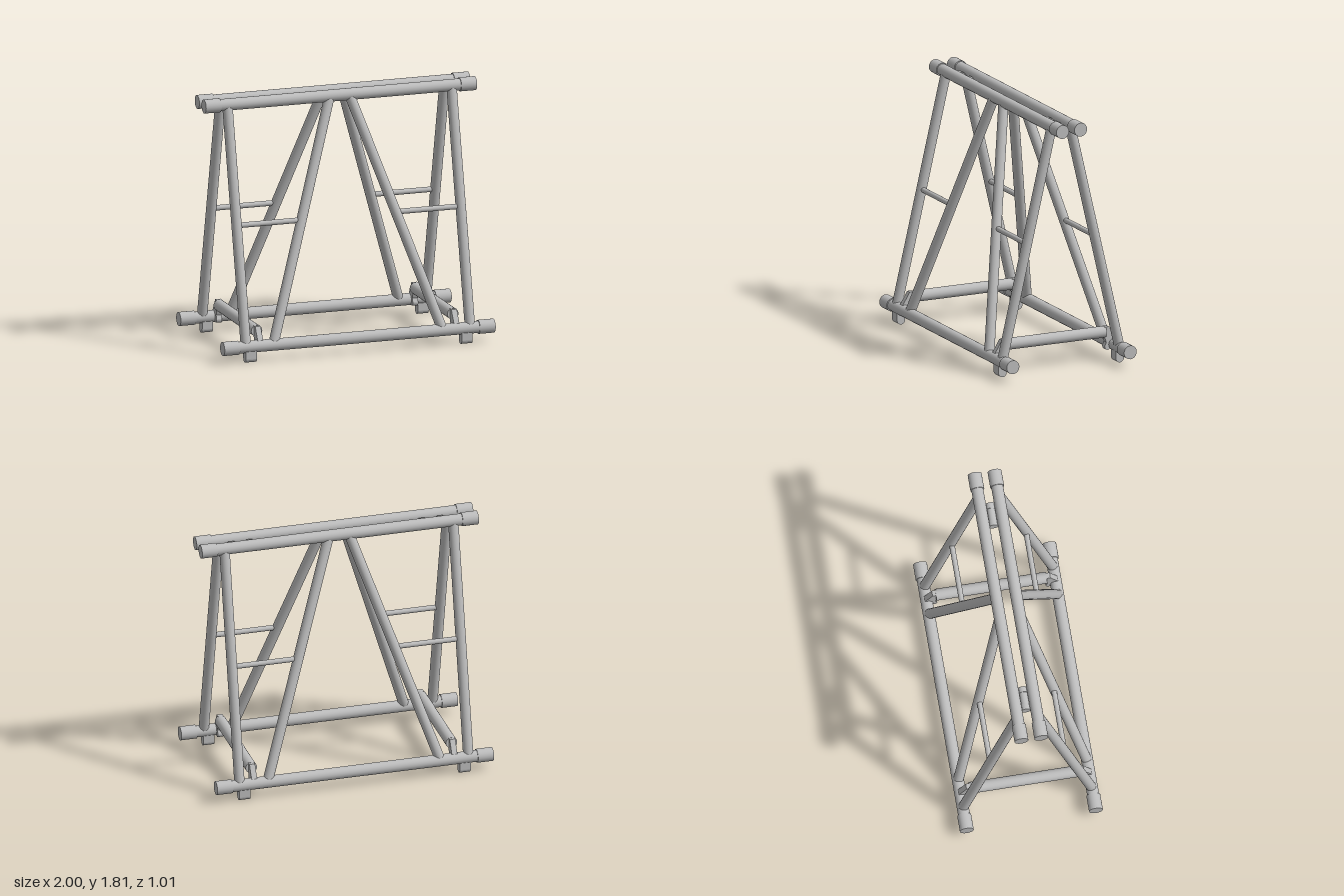
import * as THREE from 'three';

const steel = new THREE.MeshStandardMaterial({ color: 0xbdbdbd });
steel.name = 'steel grey';

const LOW = { y: 0.11, z: 0.455 };
const HIGH = { y: 1.757, z: 0.07 };

// Round bar between two points
function bar(name, a, b, radius, sides = 20) {
  const from = new THREE.Vector3(...a), to = new THREE.Vector3(...b);
  const dir = to.clone().sub(from);
  const mesh = new THREE.Mesh(new THREE.CylinderGeometry(radius, radius, dir.length(), sides), steel);
  mesh.name = name;
  mesh.position.copy(from).add(to).multiplyScalar(0.5);
  mesh.quaternion.setFromUnitVectors(new THREE.Vector3(0, 1, 0), dir.normalize());
  return mesh;
}

// Plate with a side profile in (z, y), extruded along x and centred on x
function plate(name, shape, x, width) {
  const geo = new THREE.ExtrudeGeometry(shape, { depth: width, bevelEnabled: false, curveSegments: 10 });
  geo.translate(0, 0, -width / 2);
  geo.rotateY(-Math.PI / 2); // shape x becomes z
  const mesh = new THREE.Mesh(geo, steel);
  mesh.name = name;
  mesh.position.x = x;
  return mesh;
}

// Rail with a thicker sleeve on each end
function rail(name, y, z) {
  const g = new THREE.Group();
  g.name = name;
  g.add(bar('railTube', [-0.95, y, z], [0.95, y, z], 0.042));
  for (const s of [-1, 1]) g.add(bar('railSleeve', [s * 0.885, y, z], [s, y, z], 0.049));
  return g;
}

// Rounded foot below the lower rail
function footShape(side) {
  const s = new THREE.Shape(), z = side * LOW.z, r = 0.031;
  s.moveTo(z + r, 0.1);
  s.lineTo(z - r, 0.1);
  s.lineTo(z - r, r);
  s.absarc(z, r, r, Math.PI, Math.PI * 2, false);
  s.closePath();
  return s;
}

// Hooked lug that joins the cross tube to the lower rail
function lugShape(side) {
  const s = new THREE.Shape();
  const p = (z, y) => [side * z, y];
  s.moveTo(...p(0.38, 0.24));
  s.lineTo(...p(0.415, 0.24));
  s.lineTo(...p(0.432, 0.21));
  s.lineTo(...p(0.475, 0.14));
  s.lineTo(...p(0.455, 0.1));
  s.lineTo(...p(0.415, 0.076));
  s.quadraticCurveTo(...p(0.385, 0.068), ...p(0.382, 0.1));
  s.lineTo(...p(0.395, 0.13));
  s.lineTo(...p(0.38, 0.17));
  s.closePath();
  return s;
}

// One sloping side frame
function sideFrame(side) {
  const g = new THREE.Group();
  g.name = side > 0 ? 'frontFrame' : 'backFrame';
  const zl = side * LOW.z, zh = side * HIGH.z;
  g.add(rail('lowerRail', LOW.y, zl), rail('upperRail', HIGH.y, zh));
  const rungY = 0.935;
  const rungZ = side * THREE.MathUtils.mapLinear(rungY, LOW.y, HIGH.y, LOW.z, HIGH.z);
  for (const s of [-1, 1]) {
    g.add(bar('post', [s * 0.827, LOW.y, zl], [s * 0.827, HIGH.y, zh], 0.036));
    g.add(bar('diagonalBrace', [s * 0.625, LOW.y, zl], [s * 0.072, HIGH.y, zh], 0.036));
    g.add(bar('rung', [s * 0.35, rungY, rungZ], [s * 0.82, rungY, rungZ], 0.019, 14));
    g.add(plate('foot', footShape(side), s * 0.796, 0.08));
    g.add(plate('lug', lugShape(side), s * 0.724, 0.04));
  }
  return g;
}

// Hinge joining the two upper rails
function hinge(s) {
  const g = new THREE.Group();
  g.name = 'hinge';
  const y = 1.735;
  g.add(bar('hingePin', [s * 0.61, y, 0], [s * 0.77, y, 0], 0.029));
  for (const [a, b] of [[0.605, 0.645], [0.733, 0.775]]) {
    g.add(bar('hingeKnuckle', [s * a, y, 0], [s * b, y, 0], 0.034));
    const web = new THREE.Mesh(new THREE.BoxGeometry(b - a, 0.025, 0.1), steel);
    web.name = 'hingeWeb';
    web.position.set(s * (a + b) / 2, y + 0.008, 0);
    g.add(web);
  }
  return g;
}

export function createModel() {
  const model = new THREE.Group();
  model.name = 'trussFrame';
  model.add(sideFrame(1), sideFrame(-1));
  for (const s of [-1, 1]) {
    model.add(bar('crossTube', [s * 0.724, 0.202, -0.39], [s * 0.724, 0.202, 0.39], 0.041));
    model.add(hinge(s));
  }
  return model;
}
